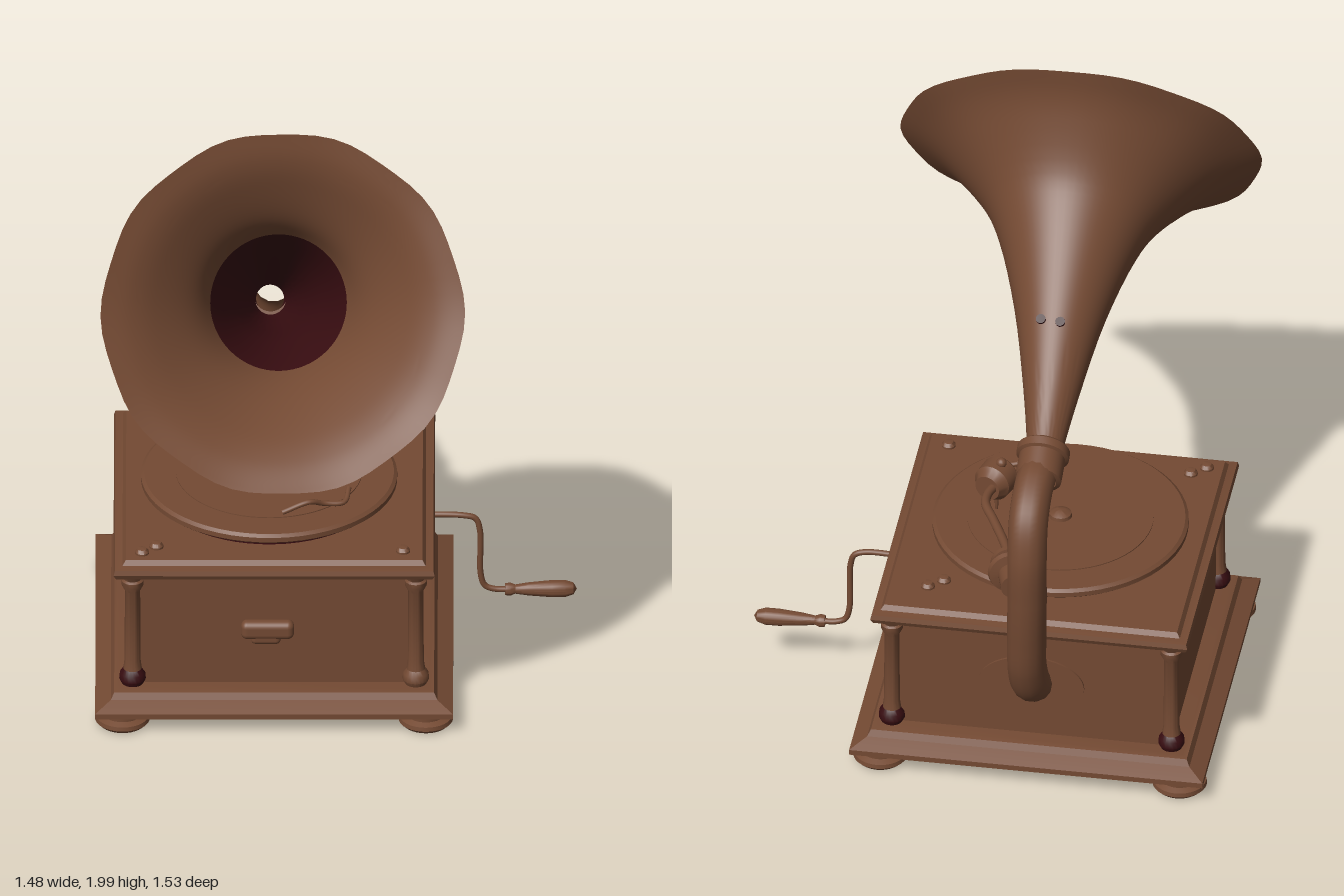
import * as THREE from 'three';
import { toCreasedNormals } from 'three/addons/utils/BufferGeometryUtils.js';
import { RoundedBoxGeometry } from 'three/addons/geometries/RoundedBoxGeometry.js';

const V = (x, y, z) => new THREE.Vector3(x, y, z);

export function createModel() {
  const model = new THREE.Group();
  const brown = new THREE.MeshStandardMaterial({ color: 0x744a33 });
  brown.name = 'warm brown';
  const dark = new THREE.MeshStandardMaterial({ color: 0x380d11 });
  dark.name = 'dark maroon';

  function add(name, geometry, parent = model, material = brown, pos = null) {
    const mesh = new THREE.Mesh(geometry, material);
    mesh.name = name;
    if (pos) mesh.position.set(...pos);
    parent.add(mesh);
    return mesh;
  }
  // Turned profile of [radius, height] points
  const turned = (pts, seg = 32) => toCreasedNormals(
    new THREE.LatheGeometry(pts.map(p => new THREE.Vector2(p[0], p[1])), seg), 0.6);
  // Square moulding: the same profile swept around four sides, radius = half width
  const square = pts => turned(pts.map(p => [p[0] * Math.SQRT2, p[1]]), 4).rotateY(Math.PI / 4);
  const tube = (pts, r, seg = 40) => new THREE.TubeGeometry(
    new THREE.CatmullRomCurve3(pts.map(p => V(...p))), seg, r, 14, false);
  // Turn a mesh so that its y axis points along dir
  const aim = (mesh, dir) => mesh.quaternion.setFromUnitVectors(V(0, 1, 0), dir.clone().normalize());

  // ---- Cabinet, turned slightly on its base ----
  const cabinet = new THREE.Group();
  cabinet.name = 'cabinet';
  cabinet.position.set(-0.165, 0, -0.163);
  cabinet.rotation.y = 0.075;
  model.add(cabinet);

  add('plinth', square([[0.36, 0.045], [0.52, 0.045], [0.537, 0.055], [0.537, 0.072], [0.515, 0.083],
    [0.49, 0.095], [0.48, 0.115], [0.465, 0.12], [0.36, 0.12], [0.36, 0.045]]), cabinet);
  add('body', square([[0.40, 0.1], [0.425, 0.1], [0.425, 0.505], [0.40, 0.505], [0.40, 0.1]]), cabinet);
  add('lid', square([[0, 0.495], [0.455, 0.495], [0.475, 0.505], [0.482, 0.52], [0.478, 0.535],
    [0.455, 0.54], [0.445, 0.555], [0, 0.555]]), cabinet);

  for (const sx of [-1, 1]) for (const sz of [-1, 1]) {
    add('foot', turned([[0, 0], [0.07, 0], [0.082, 0.012], [0.08, 0.025], [0.06, 0.032], [0.06, 0.05], [0, 0.05]]),
      cabinet, brown, [sx * 0.455, 0, sz * 0.455]);
    add('cornerColumn', turned([[0, 0.17], [0.028, 0.17], [0.024, 0.2], [0.023, 0.44], [0.033, 0.46],
      [0.033, 0.475], [0.026, 0.48], [0.035, 0.5], [0, 0.5]], 20), cabinet, brown, [sx * 0.425, 0, sz * 0.425]);
    add('columnFoot', turned([[0, 0.115], [0.03, 0.115], [0.04, 0.135], [0.038, 0.155], [0.026, 0.172], [0, 0.172]], 20),
      cabinet, sx > 0 && sz > 0 ? brown : dark, [sx * 0.425, 0, sz * 0.425]);
  }

  // Front pull
  add('frontPull', new RoundedBoxGeometry(0.16, 0.06, 0.045, 3, 0.02), cabinet, brown, [-0.02, 0.315, 0.445]);
  add('frontPullTab', new RoundedBoxGeometry(0.09, 0.045, 0.035, 3, 0.015), cabinet, brown, [-0.025, 0.29, 0.445]);

  // Oval plate where the pipe enters the back
  const plate = add('pipePlate', new THREE.CylinderGeometry(1, 1, 1, 40), cabinet, brown, [0, 0.3, -0.427]);
  plate.rotation.x = Math.PI / 2;
  plate.scale.set(0.16, 0.009, 0.1);

  // Round studs on the lid
  const stud = turned([[0.021, 0], [0.021, 0.008], [0.014, 0.018], [0, 0.021]], 18);
  for (const [x, z] of [[0.1, -0.48], [0.14, -0.52], [-0.49, 0.23], [-0.53, 0.27], [0.25, 0.2]])
    add('lidStud', stud, model, brown, [x, 0.553, z]);

  // ---- Turntable ----
  const table = new THREE.Group();
  table.name = 'turntable';
  table.position.set(-0.18, 0, -0.15);
  model.add(table);
  add('turntableUnderside', turned([[0.34, 0.55], [0.34, 0.585]], 56), table, dark);
  add('platter', turned([[0, 0.58], [0.375, 0.58], [0.385, 0.588], [0.385, 0.603], [0.375, 0.611], [0, 0.611]], 56), table);
  add('record', turned([[0.28, 0.609], [0.28, 0.614], [0, 0.614]], 56), table);
  add('spindle', turned([[0.035, 0.612], [0.033, 0.625], [0.015, 0.635], [0, 0.637]], 20), table);
  add('brakeLever', tube([[0.07, 0.64, -0.02], [0.06, 0.625, 0.04], [0.0, 0.63, 0.06], [-0.04, 0.65, 0.09],
    [-0.12, 0.622, 0.11]], 0.008, 24));

  // ---- Horn: circular sections [z, y, radius] swept from neck to mouth ----
  const sections = new THREE.CatmullRomCurve3([
    [-0.45, 1.035, 0.05], [-0.395, 1.063, 0.058], [-0.255, 1.145, 0.085], [-0.035, 1.277, 0.139],
    [0.17, 1.385, 0.213], [0.27, 1.43, 0.27], [0.385, 1.49, 0.387], [0.44, 1.513, 0.46],
    [0.485, 1.53, 0.543]].map(p => V(...p)));
  function hornSkin(t0, t1, inset, flip) {
    const rows = 32, cols = 64, pos = [], idx = [];
    for (let i = 0; i <= rows; i++) {
      const t = t0 + (t1 - t0) * i / rows;
      const s = sections.getPoint(t);
      const c = V(-0.2 + 0.11 * (s.x + 0.45) / 0.935, s.y, s.x);
      const n = V(0.085, 0.4 + 0.12 * t, 0.86).normalize();
      const right = V(0, 1, 0).cross(n).normalize(), up = n.clone().cross(right);
      for (let j = 0; j <= cols; j++) {
        const a = j / cols * Math.PI * 2;
        const r = (s.z - inset * (1 - t ** 12)) * (1 + 0.008 * t ** 6 * Math.cos(10 * a));
        const p = c.clone().addScaledVector(right, r * Math.cos(a)).addScaledVector(up, r * Math.sin(a));
        pos.push(p.x, p.y, p.z);
        if (i < rows && j < cols) {
          const k = i * (cols + 1) + j, m = k + cols + 1;
          if (flip) idx.push(k, m, k + 1, k + 1, m, m + 1);
          else idx.push(k, k + 1, m, k + 1, m + 1, m);
        }
      }
    }
    const g = new THREE.BufferGeometry();
    g.setAttribute('position', new THREE.Float32BufferAttribute(pos, 3));
    g.setIndex(idx);
    return toCreasedNormals(g, 0.9);
  }
  add('hornOutside', hornSkin(0, 1, 0, false));
  add('hornInside', hornSkin(0.5, 1, 0.008, true));
  add('hornThroat', hornSkin(0, 0.5, 0.008, true), model, dark);

  // Two small dark holes on top of the horn
  for (const x of [-0.185, -0.125])
    aim(add('hornHole', new THREE.CylinderGeometry(0.015, 0.015, 0.008, 12), model, dark, [x, 1.347, -0.175]), V(0, 0.83, -0.56));

  // ---- Pipe from horn to cabinet ----
  const collarDir = V(0.05, 0.4, 0.9);
  aim(add('hornCollar', turned([[0.055, -0.06], [0.07, -0.055], [0.07, 0.02], [0.08, 0.025], [0.08, 0.05],
    [0.072, 0.058], [0.05, 0.058]]), model, brown, [-0.2, 1.038, -0.48]), collarDir);
  add('pipe', tube([[-0.2, 1.035, -0.47], [-0.2, 1.02, -0.57], [-0.205, 0.96, -0.66], [-0.21, 0.85, -0.7],
    [-0.21, 0.7, -0.7], [-0.205, 0.55, -0.685], [-0.2, 0.42, -0.66], [-0.2, 0.33, -0.615], [-0.2, 0.29, -0.56]], 0.06, 60));

  // ---- Tone arm ----
  const jointDir = V(0.35, 0, 0.94);
  aim(add('armJoint', turned([[0, -0.1], [0.04, -0.1], [0.04, -0.035], [0.066, -0.03], [0.07, -0.015], [0.06, 0],
    [0.035, 0.004], [0.035, 0.014], [0.056, 0.018], [0.056, 0.034], [0.03, 0.042], [0.022, 0.06], [0, 0.06]]),
    model, brown, [-0.135, 0.73, -0.605]), jointDir);
  add('toneArm', tube([[-0.13, 0.73, -0.59], [-0.1, 0.73, -0.51], [-0.03, 0.73, -0.38], [0.015, 0.73, -0.3],
    [0.02, 0.73, -0.25], [0.005, 0.73, -0.19]], 0.014));
  const soundDir = V(-0.25, 0, 0.97);
  aim(add('soundBox', turned([[0, -0.05], [0.04, -0.05], [0.05, -0.03], [0.058, -0.02], [0.06, 0.035],
    [0.052, 0.045], [0, 0.045]]), model, brown, [0.018, 0.725, -0.168]), soundDir);
  add('soundBoxKnob', new THREE.SphereGeometry(0.016, 14, 10), model, brown, [0.0, 0.785, -0.16]);
  add('needle', new THREE.CylinderGeometry(0.009, 0.004, 0.07, 10), model, brown, [0.015, 0.647, -0.16]);

  // ---- Crank ----
  add('crankRod', tube([[0.25, 0.437, -0.225], [0.4, 0.437, -0.23], [0.435, 0.425, -0.235], [0.448, 0.385, -0.235],
    [0.45, 0.23, -0.24], [0.462, 0.19, -0.243], [0.49, 0.177, -0.246], [0.55, 0.175, -0.252]], 0.009, 60));
  aim(add('crankHandle', turned([[0, 0], [0.018, 0], [0.02, 0.015], [0.014, 0.03], [0.02, 0.07], [0.026, 0.14],
    [0.026, 0.18], [0.018, 0.205], [0, 0.215]], 20), model, brown, [0.523, 0.175, -0.249]), V(1, 0, -0.1));

  return model;
}
